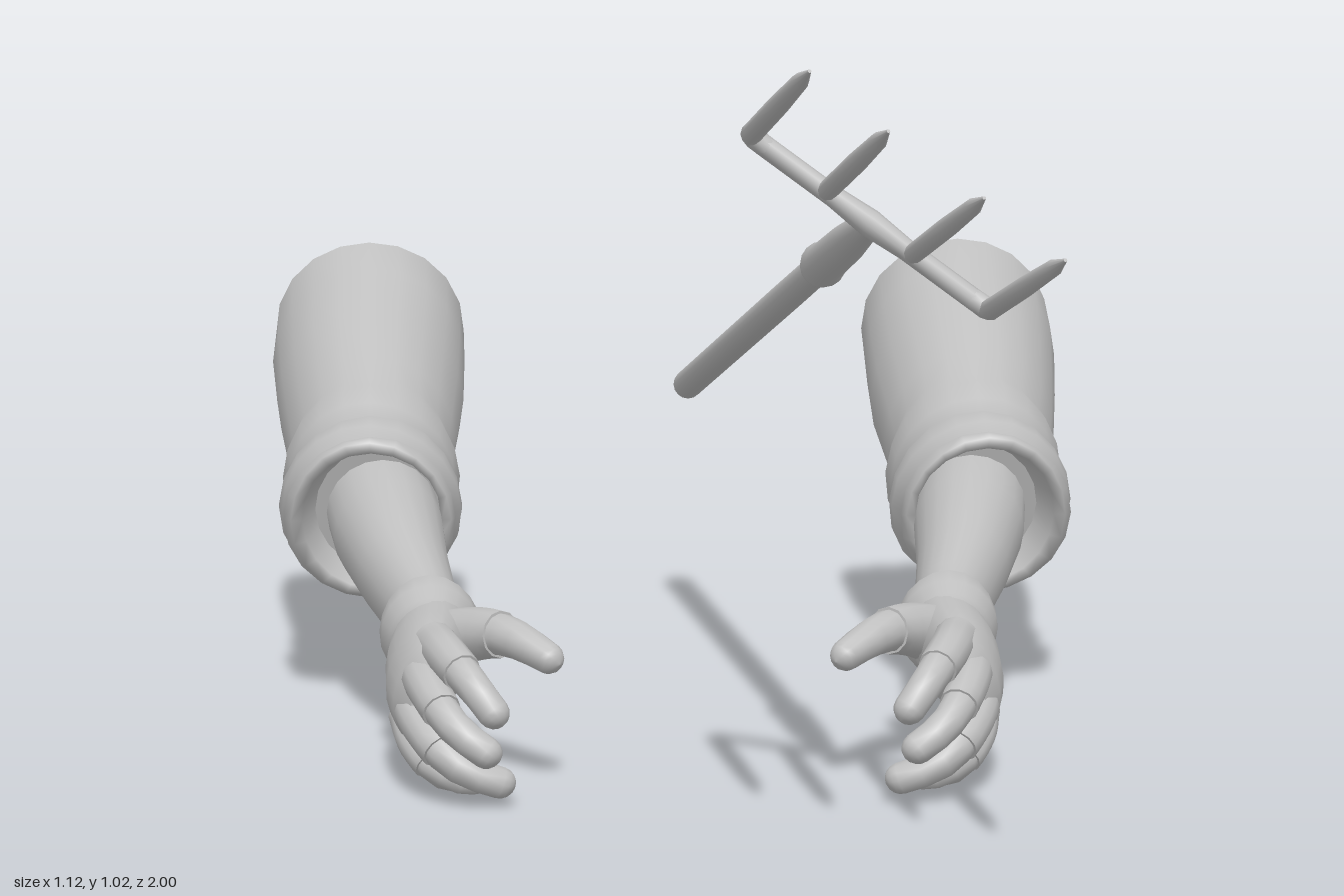
import * as THREE from 'three';

const V = (p) => new THREE.Vector3(p[0], p[1], p[2]);
const grey = new THREE.MeshStandardMaterial({ color: 0xbfbfbf });
grey.name = 'plain grey';

// Skin elliptical sections [x, y, z, rx, ry] with optional fixed direction, roll and wobble
function loft(sections, { n = 16, dir = null, roll = 0, wobble = 0 } = {}) {
  const pos = [], idx = [], last = sections.length - 1, rings = [];
  sections.forEach((s, i) => {
    const t = dir ? V(dir) : V(sections[Math.min(i + 1, last)]).sub(V(sections[Math.max(i - 1, 0)]));
    t.normalize();
    const side = new THREE.Vector3(1, 0, 0).addScaledVector(t, -t.x).normalize();
    const up = t.clone().cross(side);
    const ring = [];
    for (let j = 0; j < n; j++) {
      const a = (j / n) * Math.PI * 2;
      const k = 1 + wobble * Math.sin(3 * a + i * 1.9);
      const u = Math.cos(a) * s[3] * k, v = Math.sin(a) * (s[4] ?? s[3]) * k;
      ring.push(V(s)
        .addScaledVector(side, u * Math.cos(roll) - v * Math.sin(roll))
        .addScaledVector(up, u * Math.sin(roll) + v * Math.cos(roll)));
    }
    rings.push(ring);
    ring.forEach((p) => pos.push(p.x, p.y, p.z));
  });
  for (let i = 0; i < last; i++) {
    for (let j = 0; j < n; j++) {
      const a = i * n + j, b = i * n + ((j + 1) % n);
      idx.push(a, b, b + n, a, b + n, a + n);
    }
  }
  // Flat caps with their own vertices, so the rims stay sharp
  [0, last].forEach((i) => {
    const base = pos.length / 3;
    pos.push(sections[i][0], sections[i][1], sections[i][2]);
    rings[i].forEach((p) => pos.push(p.x, p.y, p.z));
    for (let j = 0; j < n; j++) {
      const a = base + 1 + j, b = base + 1 + ((j + 1) % n);
      if (i === 0) idx.push(base, b, a);
      else idx.push(base, a, b);
    }
  });
  const g = new THREE.BufferGeometry();
  g.setAttribute('position', new THREE.Float32BufferAttribute(pos, 3));
  g.setIndex(idx);
  g.computeVertexNormals();
  return g;
}

// Tapered digit along a curve; a domed tip, or cut flat at the fraction "end"
function digit(points, r0, r1, end = 1) {
  const curve = new THREE.CatmullRomCurve3(points.map(V));
  const d = r1 / curve.getLength();
  const us = [];
  for (let i = 0; i <= 8; i++) us.push(Math.min(end, 1 - d) * i / 8);
  if (end === 1) us.push(1 - 0.6 * d, 1 - 0.3 * d, 1 - 0.1 * d, 1);
  return loft(us.map((u) => {
    const p = curve.getPointAt(u);
    const k = Math.max(0, (u - 1 + d) / d);
    const r = (r0 + (r1 - r0) * u) * Math.sqrt(Math.max(0.002, 1 - k * k));
    return [p.x, p.y, p.z, r];
  }), { n: 12 });
}

function mirrored(geometry) {
  const g = geometry.clone().scale(-1, 1, 1);
  const ix = g.index.array;
  for (let i = 0; i < ix.length; i += 3) [ix[i + 1], ix[i + 2]] = [ix[i + 2], ix[i + 1]];
  return g;
}

function add(group, name, geometry) {
  const mesh = new THREE.Mesh(geometry, grey);
  mesh.name = name;
  group.add(mesh);
}

// Parts of the left arm as [name, geometry]
function armParts() {
  const parts = [];
  // Rolled sleeve with folds and a hollow cuff
  parts.push(['sleeve', loft([
    [0.423, 0.441, -0.95, 0.135, 0.145], [0.423, 0.41, -0.88, 0.137, 0.146],
    [0.423, 0.365, -0.8, 0.132, 0.145], [0.422, 0.32, -0.69, 0.119, 0.143],
    [0.42, 0.299, -0.65, 0.114, 0.137], [0.42, 0.288, -0.62, 0.123, 0.142],
    [0.42, 0.278, -0.59, 0.117, 0.134], [0.42, 0.27, -0.56, 0.112, 0.128],
    [0.42, 0.265, -0.53, 0.126, 0.137], [0.42, 0.262, -0.5, 0.123, 0.132],
    [0.42, 0.261, -0.475, 0.11, 0.121], [0.42, 0.261, -0.45, 0.117, 0.125],
    [0.42, 0.262, -0.43, 0.109, 0.118], [0.418, 0.262, -0.43, 0.095, 0.104],
    [0.41, 0.265, -0.5, 0.085, 0.095],
  ], { n: 20, dir: [0, -0.31, 0.95], wobble: 0.012 })]);
  parts.push(['forearm', loft([
    [0.405, 0.262, -0.51, 0.076, 0.08], [0.395, 0.245, -0.42, 0.075, 0.08],
    [0.375, 0.215, -0.3, 0.062, 0.069], [0.352, 0.187, -0.2, 0.05, 0.061],
    [0.342, 0.175, -0.15, 0.046, 0.058], [0.34, 0.168, -0.1, 0.045, 0.056],
  ], { n: 20 })]);
  // Glove cuff and palm
  parts.push(['gloveCuff', loft([
    [0.342, 0.173, -0.145, 0.046, 0.056], [0.342, 0.173, -0.158, 0.058, 0.069],
    [0.341, 0.17, -0.15, 0.067, 0.075], [0.34, 0.166, -0.125, 0.065, 0.072],
    [0.34, 0.162, -0.1, 0.055, 0.064], [0.34, 0.16, -0.08, 0.048, 0.06],
  ], { n: 20, dir: [-0.1, -0.2, 0.97], wobble: 0.02 })]);
  parts.push(['palm', loft([
    [0.34, 0.165, -0.13, 0.048, 0.06], [0.34, 0.16, -0.09, 0.052, 0.063],
    [0.344, 0.152, -0.03, 0.053, 0.069], [0.349, 0.145, 0.03, 0.046, 0.073],
    [0.348, 0.138, 0.08, 0.037, 0.068], [0.343, 0.134, 0.11, 0.02, 0.048],
  ], { n: 20, roll: 0.3, dir: [0, -0.1, 1] })]);
  // Curled digits: gloved lower half, bare tip
  const digits = {
    thumb: [[[0.335, 0.165, -0.08], [0.29, 0.185, -0.035], [0.24, 0.195, 0.025], [0.176, 0.17, 0.087]], 0.038, 0.019],
    indexFinger: [[[0.335, 0.19, 0.04], [0.318, 0.187, 0.11], [0.285, 0.16, 0.175], [0.25, 0.117, 0.2]], 0.026, 0.02],
    middleFinger: [[[0.355, 0.158, 0.04], [0.343, 0.147, 0.12], [0.308, 0.11, 0.19], [0.255, 0.072, 0.207]], 0.026, 0.02],
    ringFinger: [[[0.368, 0.12, 0.03], [0.352, 0.098, 0.11], [0.308, 0.058, 0.165], [0.235, 0.028, 0.16]], 0.025, 0.02],
    littleFinger: [[[0.37, 0.09, 0.01], [0.358, 0.063, 0.07], [0.325, 0.033, 0.105], [0.27, 0.018, 0.09]], 0.023, 0.017],
  };
  for (const [name, [points, r0, r1]] of Object.entries(digits)) {
    parts.push([name, digit(points, r0, r1)]);
    parts.push([name + 'Glove', digit(points, r0 * 1.1, r1 * 1.15, 0.55)]);
  }
  return parts;
}

function makeFork() {
  const fork = new THREE.Group();
  fork.name = 'fork';
  // Round shaft with a domed end, running into a tapered socket
  const a = V([0.036, 0.352, -0.99]), b = V([0.18, 0.797, 0.545]);
  const along = (list) => list.map(([t, r]) => {
    const p = a.clone().lerp(b, t);
    return [p.x, p.y, p.z, r];
  });
  add(fork, 'shaft', loft(along([[0, 0.012], [0.004, 0.018], [0.01, 0.021], [0.6, 0.02], [0.8, 0.019]])));
  add(fork, 'socket', loft(along([[0.77, 0.019], [0.772, 0.026], [0.785, 0.029], [0.8, 0.026],
    [0.9, 0.024], [0.97, 0.019], [1, 0.015]])));

  // Crossbar and four tapered tines; the outer tines bend out of the bar
  const p0 = V([0.04, 0.9, 0.53]), p1 = V([0.32, 0.695, 0.565]);
  const bar = (t) => p0.clone().lerp(p1, t);
  add(fork, 'crossbar', loft([0.05, 0.35, 0.5, 0.65, 0.95].map((t) => [...bar(t).toArray(), t === 0.5 ? 0.017 : 0.013]), { n: 10 }));
  const tips = [[0.08, 1.022, 0.96], [0.166, 0.957, 0.975], [0.271, 0.884, 0.988], [0.36, 0.816, 1]];
  const roots = [0, 0.32, 0.68, 1];
  tips.forEach((tip, i) => {
    const root = bar(roots[i]);
    const at = (t) => root.clone().lerp(V(tip), t);
    const path = [[at(0), 0.012], [at(0.06), 0.0125], [at(0.5), 0.0125], [at(0.85), 0.01], [at(1), 0.002]];
    if (i === 0 || i === 3) {
      const inward = (t) => bar(i === 0 ? t : 1 - t);
      path.splice(0, 2, [inward(0.07), 0.013], [inward(0.025).lerp(at(0.01), 0.4), 0.0135],
        [at(0.025), 0.0135], [at(0.07), 0.013]);
    }
    add(fork, 'tine', loft(path.map(([p, r]) => [p.x, p.y, p.z, r]), { n: 10 }));
  });
  return fork;
}

export function createModel() {
  const model = new THREE.Group();
  model.name = 'armsAndFork';
  const left = new THREE.Group(), right = new THREE.Group();
  left.name = 'leftArm';
  right.name = 'rightArm';
  for (const [name, geometry] of armParts()) {
    add(left, name, geometry);
    add(right, name, mirrored(geometry));
  }
  model.add(left, right, makeFork());
  return model;
}
